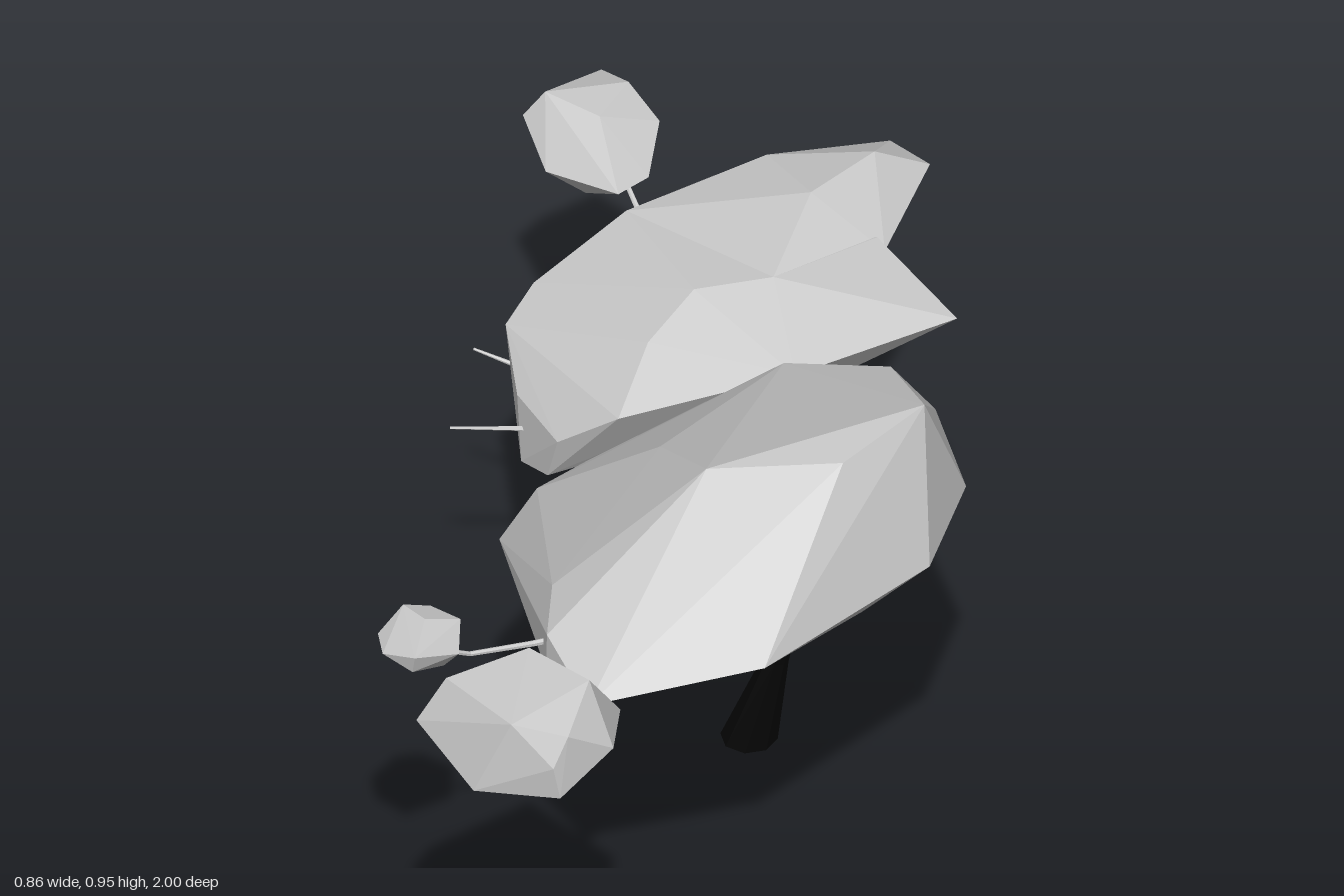
import * as THREE from 'three';
import { ConvexGeometry } from 'three/addons/geometries/ConvexGeometry.js';

const leafMat = new THREE.MeshStandardMaterial({ color: 0xcccccc, flatShading: true });
const twigMat = new THREE.MeshStandardMaterial({ color: 0xcccccc, flatShading: true });
const barkMat = new THREE.MeshStandardMaterial({ color: 0x040404, flatShading: true });

// Faceted foliage: the hull of a few corner points
function clump(name, corners) {
  const geo = new ConvexGeometry(corners.map((c) => new THREE.Vector3(...c)));
  const mesh = new THREE.Mesh(geo, leafMat);
  mesh.name = name;
  return mesh;
}

// Tapered limb: a cylinder whose rings follow path points [x, y, z, radius]
function limb(name, path, mat = twigMat, sides = 6) {
  const n = path.length - 1;
  const pts = path.map(([x, y, z]) => new THREE.Vector3(x, y, z));
  const geo = new THREE.CylinderGeometry(1, 1, 1, sides, n);
  const pos = geo.attributes.position;
  const up = new THREE.Vector3(0, 1, 0), v = new THREE.Vector3();
  const turns = pts.map((p, i) => {
    const dir = pts[Math.min(i + 1, n)].clone().sub(pts[Math.max(i - 1, 0)]).normalize();
    if (i === 0 && p.y === 0) dir.copy(up); // flat foot on the ground
    return new THREE.Quaternion().setFromUnitVectors(up, dir);
  });
  for (let k = 0; k < pos.count; k++) {
    const i = Math.round((pos.getY(k) + 0.5) * n);
    v.set(pos.getX(k), 0, pos.getZ(k)).multiplyScalar(path[i][3]).applyQuaternion(turns[i]).add(pts[i]);
    pos.setXYZ(k, v.x, v.y, v.z);
  }
  geo.computeVertexNormals();
  const mesh = new THREE.Mesh(geo, mat);
  mesh.name = name;
  return mesh;
}

export function createModel() {
  const tree = new THREE.Group();
  tree.name = 'tree';

  // Trunk and the dark start of the low boughs
  tree.add(
    limb('trunk', [[0.047, 0, -0.245, 0.045], [0.088, 0.15, -0.255, 0.02], [0.135, 0.375, -0.277, 0.015],
      [0.108, 0.45, -0.265, 0.012], [0.068, 0.53, -0.24, 0.009]], barkMat, 8),
    limb('lowBough', [[0.13, 0.415, -0.275, 0.012], [0.07, 0.42, -0.21, 0.013], [0.02, 0.465, -0.11, 0.011],
      [-0.01, 0.495, -0.05, 0.009]], barkMat),
  );

  // Branches
  tree.add(
    limb('lowFrontBranch', [[-0.01, 0.495, -0.05, 0.009], [-0.035, 0.52, 0.01, 0.008], [-0.08, 0.53, 0.1, 0.007], [-0.12, 0.51, 0.18, 0.006]]),
    limb('lowBackBranch', [[0.12, 0.415, -0.275, 0.012], [0.035, 0.402, -0.28, 0.011], [-0.04, 0.465, -0.31, 0.009], [-0.15, 0.52, -0.35, 0.007]]),
    limb('upperFrontBranch', [[0.068, 0.525, -0.24, 0.01], [0.085, 0.545, -0.2, 0.009], [0.075, 0.585, -0.14, 0.009], [0.07, 0.67, -0.09, 0.008]]),
    limb('upperBackBranch', [[0.068, 0.525, -0.24, 0.01], [0.045, 0.565, -0.28, 0.009], [0.055, 0.615, -0.35, 0.008], [0.05, 0.66, -0.42, 0.006]]),
    limb('frontPuffStem', [[-0.03, 0.69, 0.54, 0.013], [-0.065, 0.715, 0.63, 0.012], [-0.1, 0.755, 0.75, 0.01], [-0.13, 0.8, 0.82, 0.008]]),
    limb('smallPuffStem', [[-0.1, 0.71, 0.44, 0.006], [-0.18, 0.715, 0.49, 0.005], [-0.27, 0.73, 0.55, 0.004], [-0.33, 0.78, 0.61, 0.004]]),
    limb('backPuffStem', [[-0.16, 0.57, -0.52, 0.007], [-0.195, 0.56, -0.62, 0.006], [-0.188, 0.56, -0.76, 0.005], [-0.25, 0.61, -0.86, 0.004]]),
    limb('lowerTwig', [[-0.2, 0.52, -0.33, 0.005], [-0.32, 0.51, -0.31, 0.004], [-0.43, 0.51, -0.295, 0.002]]),
    limb('upperTwig', [[-0.25, 0.535, -0.38, 0.005], [-0.34, 0.545, -0.42, 0.004], [-0.415, 0.556, -0.44, 0.002]]),
  );

  // Large front canopy, high on the left and falling to the right
  tree.add(clump('frontCanopy', [
    [0.11, 0.78, -0.19], [0.02, 0.715, -0.135], [-0.18, 0.64, -0.08], [-0.25, 0.63, -0.01], [-0.3, 0.57, 0.05],
    [-0.2, 0.57, 0], [-0.165, 0.755, 0.39], [-0.155, 0.75, 0.51], [-0.155, 0.69, 0.52], [-0.07, 0.72, 0.64],
    [-0.08, 0.66, 0.56], [0.19, 0.74, 0.53], [0.06, 0.925, 0.28], [0.27, 0.938, 0.25], [-0.04, 0.82, 0.1],
    [0.375, 0.95, 0.1], [0.29, 0.855, -0.11], [0.36, 0.78, -0.11], [0.425, 0.72, 0], [0.4, 0.72, 0.21],
    [0.3, 0.65, 0.25], [0.3, 0.655, -0.03], [0.1, 0.62, -0.1], [0.08, 0.62, 0.15], [-0.1, 0.59, -0.07],
  ]));

  // Sloping back canopy: main mass and rear lobe
  tree.add(
    clump('backCanopy', [
      [0.35, 0.735, -0.4], [0.12, 0.72, -0.24], [-0.15, 0.64, -0.19], [-0.25, 0.56, -0.22], [-0.33, 0.56, -0.33],
      [-0.365, 0.61, -0.44], [-0.33, 0.65, -0.5], [-0.2, 0.73, -0.6], [-0.32, 0.45, -0.305], [-0.27, 0.47, -0.25],
      [-0.18, 0.53, -0.55], [0.05, 0.59, -0.3], [0.22, 0.64, -0.42], [-0.06, 0.76, -0.38], [0.06, 0.775, -0.41],
      [0.2, 0.755, -0.56], [0.18, 0.65, -0.57], [0.05, 0.585, -0.58], [-0.12, 0.71, -0.3],
    ]),
    clump('backCanopyLobe', [
      [-0.2, 0.73, -0.6], [0, 0.76, -0.735], [0.18, 0.74, -0.825], [0.25, 0.74, -0.775], [0.215, 0.745, -0.54],
      [0.09, 0.8, -0.6], [0.17, 0.79, -0.73], [0.17, 0.66, -0.79], [0.06, 0.585, -0.62], [-0.18, 0.545, -0.57],
      [0.06, 0.775, -0.41], [0.1, 0.61, -0.4], [-0.15, 0.52, -0.45],
    ]),
  );

  // Outlying leaf puffs
  tree.add(
    clump('frontPuff', [
      [-0.15, 0.82, 0.65], [0, 0.82, 0.77], [0.012, 0.86, 0.92], [-0.06, 0.81, 0.995], [-0.07, 0.87, 1], [-0.14, 0.93, 0.975],
      [-0.305, 0.84, 0.87], [-0.285, 0.83, 0.8], [-0.26, 0.92, 0.86], [-0.14, 0.94, 0.79], [-0.035, 0.942, 0.86],
      [-0.05, 0.92, 0.98], [-0.06, 0.76, 0.77], [-0.11, 0.735, 0.86], [-0.23, 0.74, 0.85], [-0.2, 0.79, 0.97],
    ]),
    clump('smallPuff', [
      [-0.405, 0.8, 0.61], [-0.37, 0.838, 0.58], [-0.33, 0.845, 0.62], [-0.28, 0.82, 0.58], [-0.275, 0.79, 0.63],
      [-0.3, 0.757, 0.62], [-0.36, 0.763, 0.61], [-0.32, 0.785, 0.56], [-0.33, 0.825, 0.56], [-0.335, 0.82, 0.69],
      [-0.34, 0.785, 0.68], [-0.39, 0.8, 0.66],
    ]),
    clump('lowPuff', [
      [-0.225, 0.5, 0.19], [-0.2, 0.55, 0.21], [-0.14, 0.565, 0.18], [-0.06, 0.545, 0.13], [-0.042, 0.5, 0.2],
      [-0.07, 0.44, 0.18], [-0.2, 0.46, 0.22], [-0.13, 0.515, 0.305], [-0.09, 0.555, 0.25], [-0.13, 0.53, 0.1],
      [-0.15, 0.47, 0.105], [-0.1, 0.455, 0.25],
    ]),
    clump('backPuff', [
      [-0.405, 0.68, -0.88], [-0.37, 0.73, -0.88], [-0.28, 0.715, -0.85], [-0.195, 0.67, -0.91], [-0.2, 0.62, -0.83],
      [-0.24, 0.62, -0.78], [-0.3, 0.57, -0.84], [-0.36, 0.62, -0.82], [-0.3, 0.69, -1.0], [-0.28, 0.63, -0.995],
      [-0.22, 0.64, -0.97], [-0.38, 0.65, -0.96], [-0.25, 0.71, -0.95], [-0.3, 0.58, -0.94],
    ]),
  );

  return tree;
}
